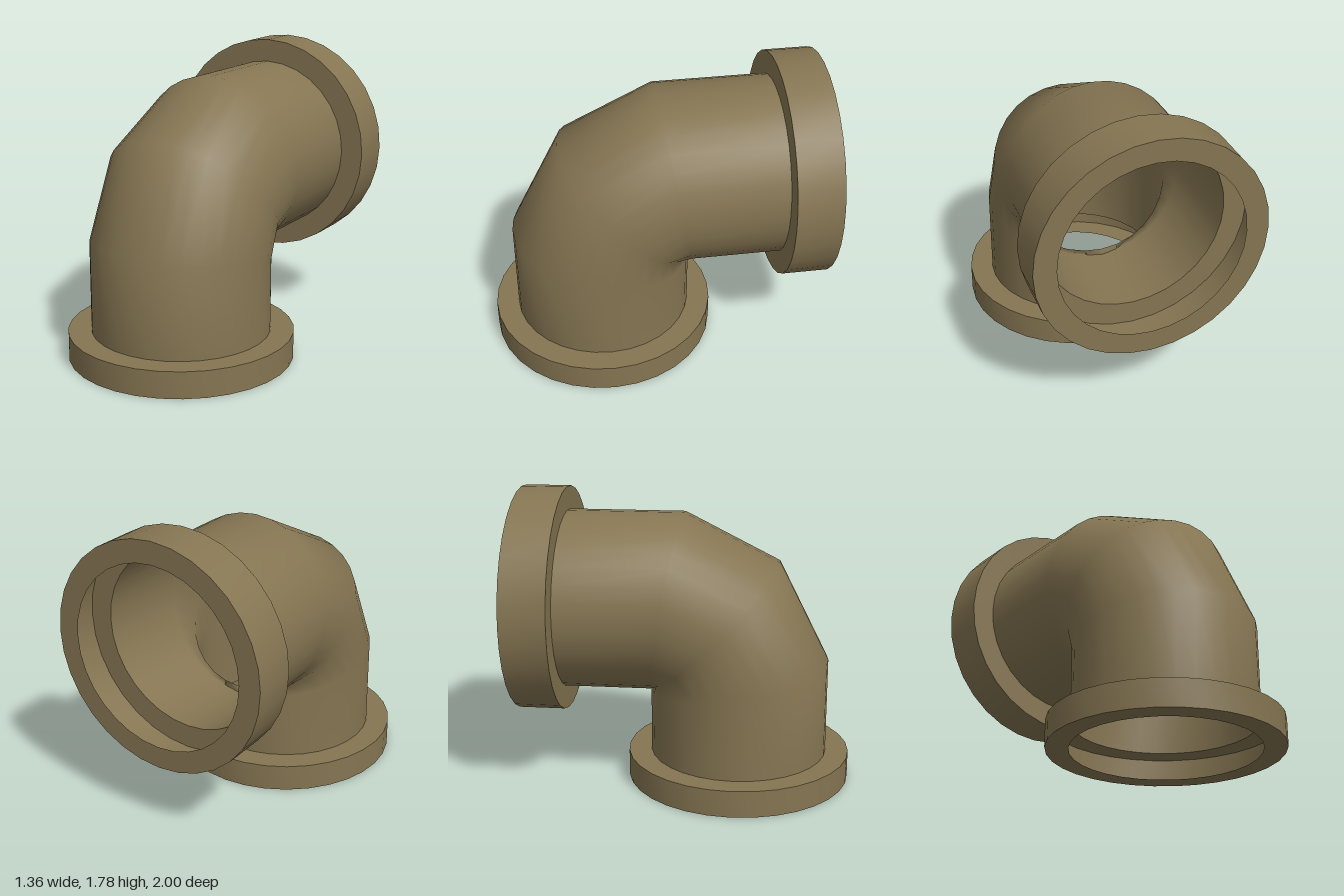
import * as THREE from 'three';
import { toCreasedNormals } from 'three/addons/utils/BufferGeometryUtils.js';

const SIDES = 32;
const AXIS_Z = 0.317; // axis of the upright leg
const AXIS_Y = 1.097; // axis of the level leg
const PIPE_R = 0.54;
const COLLAR_R = 0.68;
const BOTTOM_H = 0.163;
const BACK_H = 0.275;

// Thin elbow skin: five rings of points, joined with smooth normals.
// u is measured forward from the upright axis, v upward from the level axis;
// c runs from 1 on the outside of the bend to -1 on the inside.
function elbowGeometry() {
  const leg = c => PIPE_R * c;
  const bendStart = c => -0.442 + 0.095 * c;
  const rings = [
    c => [leg(c), BOTTOM_H - AXIS_Y],
    c => [leg(c), bendStart(c)],
    c => [-0.14 + 0.38 * c, -0.133 + 0.38 * c], // round ring tilted 45 degrees
    c => [bendStart(c) + 0.008, leg(c)],
    c => [BACK_H - 1 - AXIS_Z, leg(c)],
  ];
  const positions = [], index = [];
  rings.forEach((ring, j) => {
    for (let i = 0; i < SIDES; i++) {
      const t = (i / SIDES) * Math.PI * 2;
      const [u, v] = ring(Math.cos(t));
      positions.push(PIPE_R * Math.sin(t), AXIS_Y + v, AXIS_Z + u);
      if (j === rings.length - 1) continue;
      const a = j * SIDES + i, b = j * SIDES + (i + 1) % SIDES;
      index.push(a, b, a + SIDES, b + SIDES, a + SIDES, b);
    }
  });
  const geometry = new THREE.BufferGeometry();
  geometry.setAttribute('position', new THREE.Float32BufferAttribute(positions, 3));
  geometry.setIndex(index);
  geometry.computeVertexNormals();
  return geometry;
}

// Hollow collar: rim, outer wall and shoulder; its open end lies at y = 0.
function collarGeometry(height) {
  const profile = [
    [0.547, 0], [COLLAR_R, 0], [COLLAR_R, height], [PIPE_R, height],
  ].map(([x, y]) => new THREE.Vector2(x, y));
  return toCreasedNormals(new THREE.LatheGeometry(profile, SIDES), 0.6);
}

export function createModel() {
  const group = new THREE.Group();
  group.name = 'pipeElbow';
  const olive = new THREE.MeshStandardMaterial({ color: 0x857552, side: THREE.DoubleSide });
  olive.name = 'olive brown';

  const add = (name, geometry) => {
    const mesh = new THREE.Mesh(geometry, olive);
    mesh.name = name;
    group.add(mesh);
    return mesh;
  };

  // Pipe wall
  add('elbowPipe', elbowGeometry());

  // End collars
  add('bottomCollar', collarGeometry(BOTTOM_H)).position.set(0, 0, AXIS_Z);
  const back = add('backCollar', collarGeometry(BACK_H));
  back.rotation.x = Math.PI / 2;
  back.position.set(0, AXIS_Y, -1);

  return group;
}
